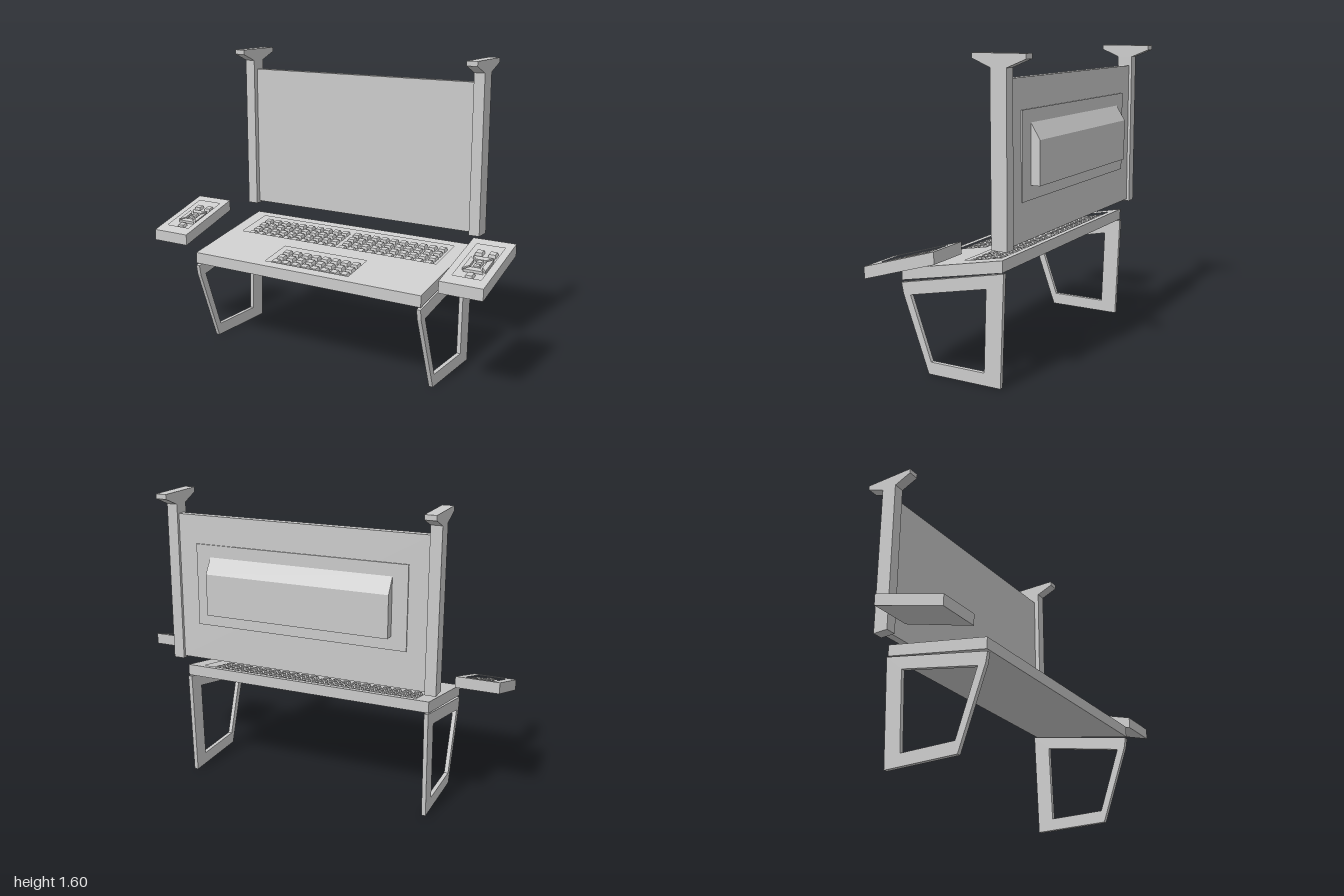
import * as THREE from 'three';
import { mergeGeometries } from 'three/addons/utils/BufferGeometryUtils.js';

const grey = new THREE.MeshStandardMaterial({ color: 0xcccccc, flatShading: true });

function add(parent, name, geometry) {
  const mesh = new THREE.Mesh(geometry, grey);
  mesh.name = name;
  parent.add(mesh);
  return mesh;
}

const points = (list) => list.map(([a, b]) => new THREE.Vector2(a, b));
const rect = (x0, x1, z0, z1) => [[x0, z0], [x1, z0], [x1, z1], [x0, z1]];

function outline(list, holes = []) {
  const shape = new THREE.Shape(points(list));
  holes.forEach((h) => shape.holes.push(new THREE.Path(points(h))));
  return shape;
}

// Side profile given as [z, y], extruded from x0 to x1
function sideProfile(list, x0, x1, holes = []) {
  const flip = (l) => l.map(([z, y]) => [-z, y]);
  const g = new THREE.ExtrudeGeometry(outline(flip(list), holes.map(flip)), { depth: x1 - x0, bevelEnabled: false });
  return g.rotateY(Math.PI / 2).translate(x0, 0, 0);
}

// Floor plan given as [x, z], extruded from y0 to y1
function plan(list, y0, y1, holes = []) {
  const flip = (l) => l.map(([x, z]) => [x, -z]);
  const g = new THREE.ExtrudeGeometry(outline(flip(list), holes.map(flip)), { depth: y1 - y0, bevelEnabled: false });
  return g.rotateX(-Math.PI / 2).translate(0, y0, 0);
}

// Box between two corners
function box(x0, x1, y0, y1, z0, z1) {
  return new THREE.BoxGeometry(x1 - x0, y1 - y0, z1 - z0)
    .translate((x0 + x1) / 2, (y0 + y1) / 2, (z0 + z1) / 2);
}

// Tapered key cap standing on height y
function key(x, z, w, d, y, h = 0.016) {
  const g = new THREE.CylinderGeometry(Math.SQRT1_2 * 0.78, Math.SQRT1_2, 1, 4).rotateY(Math.PI / 4);
  return g.scale(w, h, d).translate(x, y + h / 2, z);
}

// Slope a flat part: height y0 at zFront, rising towards the back
function slope(geometries, y0, zFront, rise) {
  const g = mergeGeometries(geometries.map((k) => (k.index ? k.toNonIndexed() : k)));
  const p = g.attributes.position;
  for (let i = 0; i < p.count; i++) p.setY(i, p.getY(i) + y0 + rise * (zFront - p.getZ(i)));
  g.computeVertexNormals();
  return g;
}

// Slab with recessed wells in its top face
function welledSlab(x0, x1, z0, z1, thick, depth, wells) {
  return [
    box(x0, x1, 0, thick - depth, z0, z1),
    plan(rect(x0, x1, z0, z1), thick - depth, thick, wells),
  ];
}

export function createModel() {
  const model = new THREE.Group();
  model.name = 'workstation';

  // Sloping desk with two key wells
  const desk = new THREE.Group();
  desk.name = 'desk';
  model.add(desk);
  const tilt = (list) => slope(list, 0.467, 0.367, 0.192);
  add(desk, 'deskTop', tilt(welledSlab(-0.69, 0.69, -0.215, 0.367, 0.06, 0.022, [
    rect(-0.612, 0.612, -0.17, 0.047),
    rect(-0.257, 0.257, 0.135, 0.318),
  ])));

  // Main keyboard: two blocks of 4 x 10 keys
  const mainKeys = [];
  for (let row = 0; row < 4; row++)
    for (let col = 0; col < 10; col++)
      for (const s of [-1, 1])
        mainKeys.push(key(s * (0.038 + col * 0.0578), -0.139 + row * 0.054, 0.042, 0.038, 0.038));
  add(desk, 'keyboardKeys', tilt(mainKeys));

  // Small keypad: 3 x 8 keys
  const padKeys = [];
  for (let row = 0; row < 3; row++)
    for (let col = 0; col < 8; col++)
      padKeys.push(key(-0.213 + col * 0.0609, 0.172 + row * 0.055, 0.045, 0.04, 0.038));
  add(desk, 'keypadKeys', tilt(padKeys));

  // Open leg frames under both ends
  const legOuter = [[0.37, 0.455], [0.36, 0.4], [0.215, 0], [-0.2, 0], [-0.222, 0.575]];
  const legHole = [[0.317, 0.397], [-0.125, 0.488], [-0.11, 0.065], [0.2, 0.065]];
  add(model, 'leftLeg', sideProfile(legOuter, 0.669, 0.691, [legHole]));
  add(model, 'rightLeg', sideProfile(legOuter, -0.691, -0.669, [legHole]));

  // Floating control panels on both sides
  for (const s of [1, -1]) {
    const panel = new THREE.Group();
    panel.name = s > 0 ? 'leftControlPanel' : 'rightControlPanel';
    model.add(panel);
    const cx = s * 0.886;
    const lean = (list) => slope(list, 0.551, 0.352, 0.2985);
    add(panel, 'panelBody', lean(welledSlab(cx - 0.114, cx + 0.114, -0.044, 0.352, 0.06, 0.02, [
      rect(cx - 0.075, cx + 0.075, 0.005, 0.288),
    ])));
    const floor = 0.04;
    const buttons = [
      key(cx - 0.035, 0.057, 0.042, 0.036, floor),
      key(cx + 0.035, 0.057, 0.042, 0.036, floor),
      key(cx, 0.25, 0.042, 0.036, floor),
      key(cx, 0.138, 0.036, 0.024, floor),
      key(cx, 0.172, 0.036, 0.024, floor),
    ];
    // Four trapezoid arrow buttons around the centre
    for (let i = 0; i < 4; i++) {
      const arrow = plan([[-0.052, -0.06], [0.052, -0.06], [0.026, -0.034], [-0.026, -0.034]], floor, floor + 0.014);
      buttons.push(arrow.rotateY((i * Math.PI) / 2).translate(cx, 0, 0.155));
    }
    add(panel, 'panelButtons', lean(buttons));
  }

  // Upright screen with a stepped housing on its back
  add(model, 'screen', box(-0.69, 0.69, 0.705, 1.485, -0.256, -0.215));
  add(model, 'backPlate', box(-0.58, 0.58, 0.9, 1.335, -0.263, -0.25));
  add(model, 'backHousing', sideProfile(
    [[-0.26, 0.97], [-0.26, 1.275], [-0.313, 1.19], [-0.313, 0.97]], -0.5, 0.5));

  // Posts with flared heads holding the screen
  const post = [
    [-0.187, 0.695], [-0.187, 1.535], [-0.092, 1.575], [-0.092, 1.6],
    [-0.371, 1.6], [-0.371, 1.575], [-0.272, 1.535], [-0.272, 0.695],
  ];
  add(model, 'leftPost', sideProfile(post, 0.682, 0.741));
  add(model, 'rightPost', sideProfile(post, -0.741, -0.682));

  return model;
}
